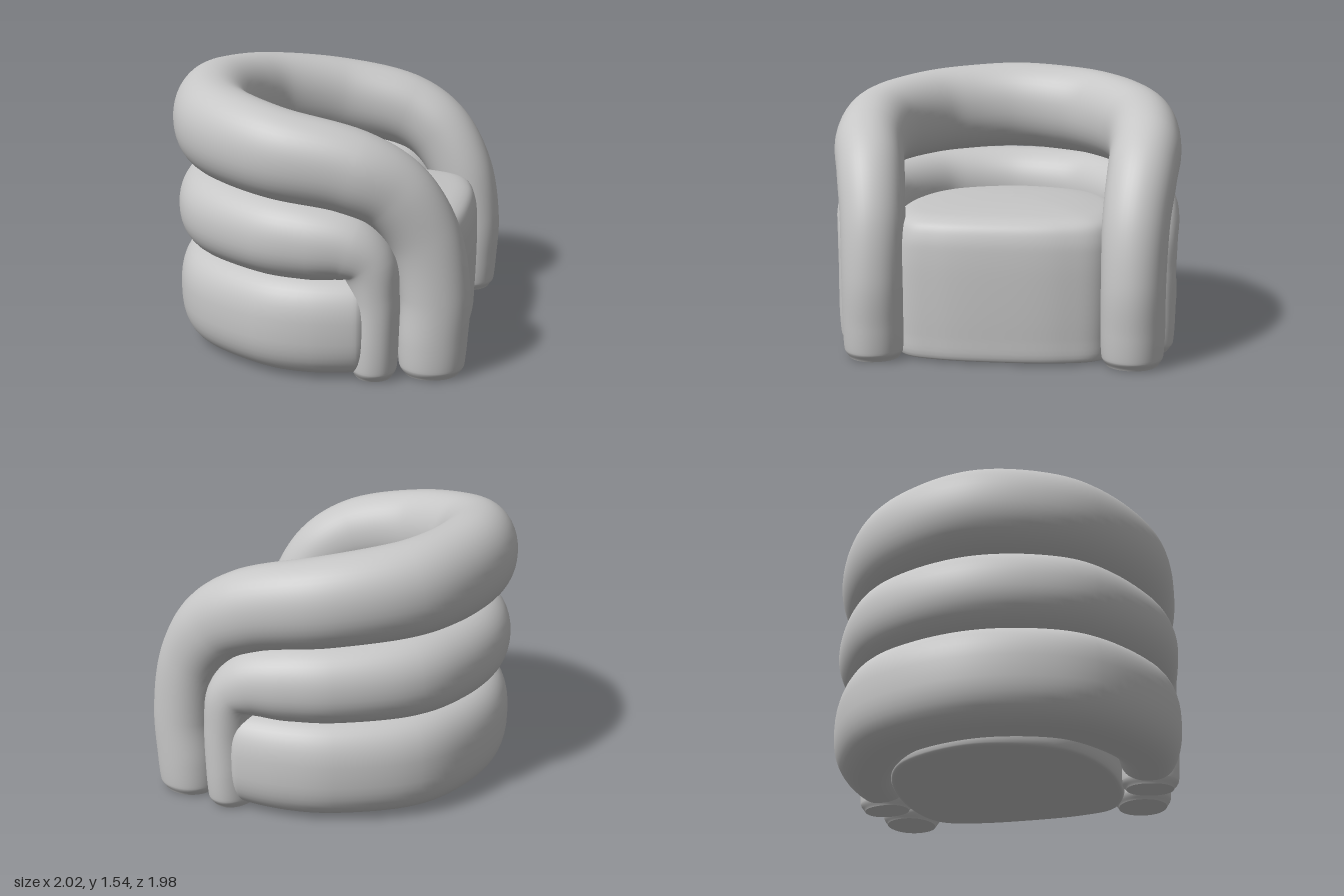
import * as THREE from 'three';

const V = (x, y, z) => new THREE.Vector3(x, y, z);

// Smooth skin over a list of closed rings, closed at both ends
function loft(rings) {
  const n = rings[0].length, m = rings.length;
  const pos = [], idx = [];
  for (const ring of rings) for (const p of ring) pos.push(p.x, p.y, p.z);
  for (let i = 0; i < m - 1; i++) {
    for (let j = 0; j < n; j++) {
      const k = (j + 1) % n;
      const a = i * n + j, b = i * n + k, c = (i + 1) * n + k, d = (i + 1) * n + j;
      idx.push(a, b, c, a, c, d);
    }
  }
  for (const [r, flip] of [[0, true], [m - 1, false]]) {
    const c = rings[r].reduce((s, p) => s.add(p), V(0, 0, 0)).divideScalar(n);
    const base = pos.length / 3;
    pos.push(c.x, c.y, c.z);
    for (const p of rings[r]) pos.push(p.x, p.y, p.z);
    for (let j = 0; j < n; j++) {
      const a = base + 1 + j, b = base + 1 + (j + 1) % n;
      if (flip) idx.push(base, b, a); else idx.push(base, a, b);
    }
  }
  const g = new THREE.BufferGeometry();
  g.setAttribute('position', new THREE.Float32BufferAttribute(pos, 3));
  g.setIndex(idx);
  g.computeVertexNormals();
  return g;
}

// The back sits a little to one side of the legs
function skew(p) {
  const side = p.z;
  p.z += 0.044 * THREE.MathUtils.smoothstep(-p.x, -0.6, 0.25);
  p.x -= 0.013 * side;
  return p;
}

// Padded roll from one end to the back centre, then mirrored.
// Row: forward, height, side, outward angle, half thickness, half height
function roll(half, power) {
  const mirrored = half.slice(0, -1).reverse().map(([u, y, w, f, a, b]) => [u, y, -w, 360 - f, a, b]);
  const rows = [...half, ...mirrored];
  const path = new THREE.CatmullRomCurve3(rows.map((r) => skew(V(r[0], r[1], r[2]))));
  const size = new THREE.CatmullRomCurve3(rows.map((r) => V(r[3], r[4], r[5])), false, 'catmullrom', 0.4);
  const steps = (rows.length - 1) * 9, sides = 44, rings = [];
  const bulge = (v) => Math.sign(v) * Math.abs(v) ** (2 / power);
  for (let i = 0; i <= steps; i++) {
    const t = i / steps;
    const c = path.getPoint(t), s = size.getPoint(t), T = path.getTangent(t);
    const f = THREE.MathUtils.degToRad(s.x);
    const N = V(Math.cos(f), 0, Math.sin(f));
    const B = T.clone().cross(N).normalize();
    N.copy(B).cross(T).normalize();
    const ring = [];
    for (let j = 0; j < sides; j++) {
      const q = (j / sides) * Math.PI * 2;
      ring.push(c.clone()
        .addScaledVector(N, s.y * bulge(Math.cos(q)))
        .addScaledVector(B, s.z * bulge(Math.sin(q))));
    }
    rings.push(ring);
  }
  return loft(rings);
}

// Seat block: one plan outline stacked in scaled layers
function seat() {
  const side = [[-0.45, 0.45], [-0.1, 0.63], [0.4, 0.645], [0.63, 0.545], [0.7, 0.35]];
  const outline = [[-0.62, 0], ...side, [0.723, 0], ...side.slice().reverse().map(([u, w]) => [u, -w])];
  const curve = new THREE.CatmullRomCurve3(outline.map(([u, w]) => V(u, 0, w)), true);
  const plan = curve.getPoints(96).slice(0, -1);
  const profile = new THREE.CatmullRomCurve3([
    [0.4, 0.006], [0.93, 0.008], [0.975, 0.025], [0.99, 0.15], [1, 0.4], [0.998, 0.58], [0.985, 0.68],
    [0.95, 0.75], [0.88, 0.785], [0.7, 0.808], [0.35, 0.825], [0.02, 0.83],
  ].map(([s, y]) => V(s, y, 0)));
  return loft(profile.getPoints(55).map((l) => plan.map((p) => V(p.x * l.x, l.y, p.z * l.x))));
}

export function createModel() {
  const fabric = new THREE.MeshStandardMaterial({ color: 0xc6c6c6 });
  fabric.name = 'greyFabric';

  // Upper roll: backrest that bends down into the front legs
  const upper = [
    [0.592, 0.004, 0.713, 74, 0.14, 0.15],
    [0.592, 0.05, 0.713, 74, 0.165, 0.178],
    [0.597, 0.2, 0.713, 74, 0.172, 0.187],
    [0.607, 0.45, 0.713, 74, 0.172, 0.187],
    [0.54, 0.775, 0.722, 76, 0.18, 0.195],
    [0.385, 1.005, 0.755, 80, 0.19, 0.21],
    [0.17, 1.125, 0.785, 90, 0.2, 0.225],
    [-0.24, 1.2, 0.745, 115, 0.212, 0.242],
    [-0.59, 1.245, 0.525, 143, 0.222, 0.255],
    [-0.72, 1.265, 0.31, 158, 0.225, 0.26],
    [-0.78, 1.28, 0, 180, 0.228, 0.262],
  ];

  // Middle roll, with slimmer legs tucked behind the front ones
  const middle = [
    [0.287, 0.004, 0.785, 76, 0.135, 0.105],
    [0.287, 0.05, 0.785, 76, 0.165, 0.127],
    [0.289, 0.2, 0.785, 76, 0.175, 0.133],
    [0.29, 0.45, 0.785, 76, 0.175, 0.136],
    [0.255, 0.64, 0.788, 79, 0.18, 0.155],
    [0.15, 0.72, 0.795, 87, 0.19, 0.187],
    [-0.05, 0.745, 0.79, 97, 0.2, 0.21],
    [-0.26, 0.755, 0.735, 116, 0.21, 0.22],
    [-0.59, 0.77, 0.52, 143, 0.217, 0.23],
    [-0.71, 0.775, 0.31, 158, 0.217, 0.232],
    [-0.768, 0.778, 0, 180, 0.217, 0.233],
  ];

  // Lower roll resting on the floor
  const lower = [
    [0.25, 0.285, 0.78, 82, 0.13, 0.23],
    [0.2, 0.285, 0.785, 84, 0.18, 0.265],
    [-0.05, 0.285, 0.79, 97, 0.2, 0.275],
    [-0.26, 0.285, 0.735, 116, 0.213, 0.277],
    [-0.59, 0.285, 0.52, 143, 0.22, 0.278],
    [-0.71, 0.285, 0.31, 158, 0.22, 0.278],
    [-0.768, 0.285, 0, 180, 0.22, 0.278],
  ];

  const chair = new THREE.Group();
  chair.name = 'armchair';
  const add = (name, geometry) => {
    const mesh = new THREE.Mesh(geometry, fabric);
    mesh.name = name;
    chair.add(mesh);
  };
  add('upperRoll', roll(upper, 2.1));
  add('middleRoll', roll(middle, 2.15));
  add('lowerRoll', roll(lower, 2.5));
  add('seat', seat());

  // The chair is turned slightly away from the side axis
  chair.rotation.y = THREE.MathUtils.degToRad(-18);
  chair.position.set(0.014, 0, -0.042);

  const model = new THREE.Group();
  model.name = 'model';
  model.add(chair);
  return model;
}
